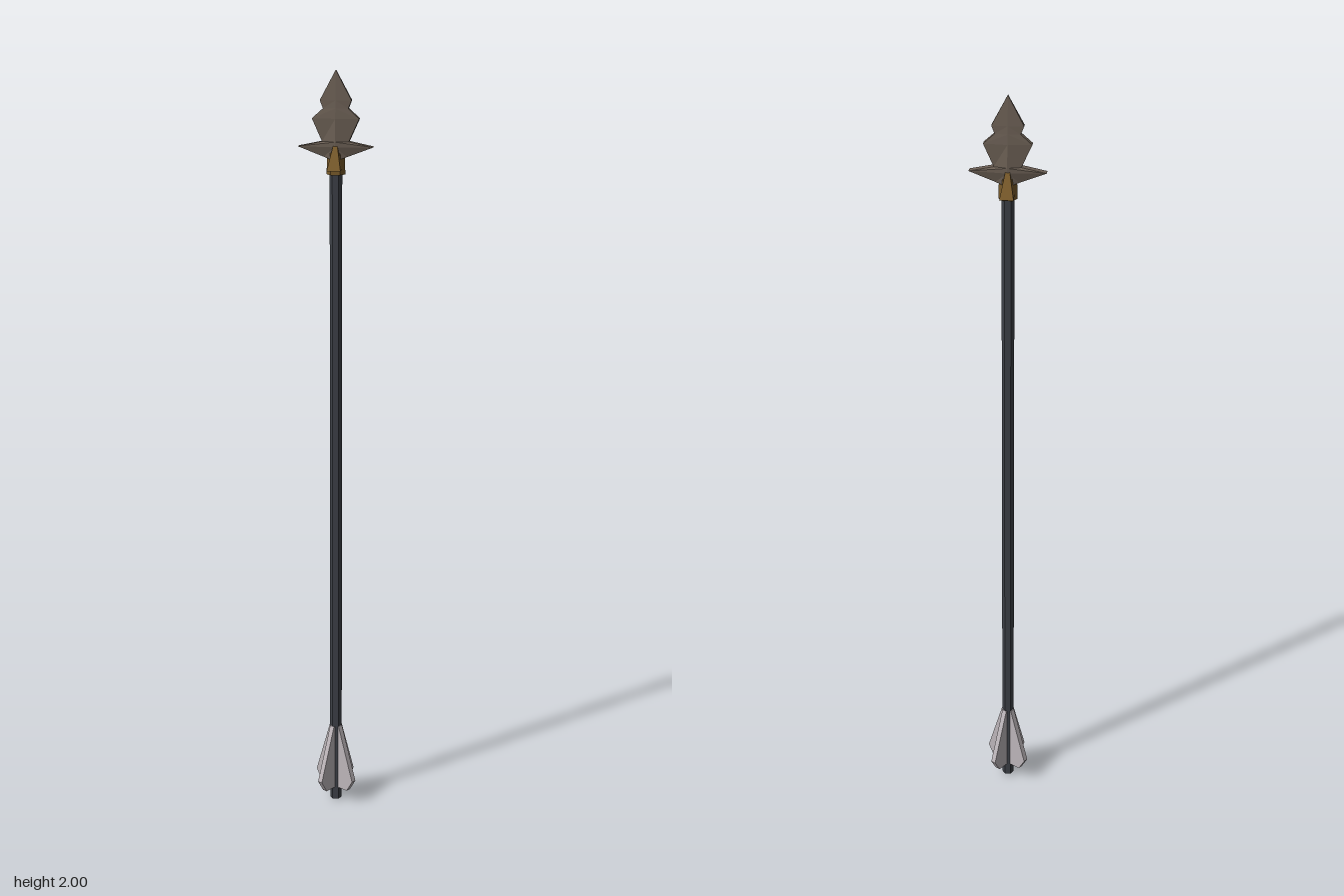
import * as THREE from 'three';

const mat = (name, color) => {
  const m = new THREE.MeshStandardMaterial({ color, flatShading: true });
  m.name = name;
  return m;
};

// Blade: each outline point is joined to a tapering central ridge, mirrored to all four quarters
function bladeGeometry() {
  // x, y, half thickness of the edge
  const outline = [
    [0, 2, 0.002], [0.04, 1.925, 0.007], [0.032, 1.905, 0.008], [0.06, 1.88, 0.009],
    [0.034, 1.823, 0.01], [0.096, 1.81, 0.01], [0.03, 1.785, 0.011], [0, 1.775, 0.02],
  ];
  const ridge = (y) => 0.002 + 0.018 * Math.min(1, (2 - y) / 0.18);
  const pos = [];
  const quad = (a, b, c, d, flip) => {
    const order = flip ? [a, c, b, a, d, c] : [a, b, c, a, c, d];
    order.forEach((p) => pos.push(...p));
  };
  for (let i = 0; i < outline.length - 1; i++) {
    const [x0, y0, t0] = outline[i];
    const [x1, y1, t1] = outline[i + 1];
    for (const sx of [1, -1]) {
      for (const sz of [1, -1]) {
        quad([0, y0, sz * ridge(y0)], [0, y1, sz * ridge(y1)],
          [sx * x1, y1, sz * t1], [sx * x0, y0, sz * t0], sx * sz < 0);
      }
      quad([sx * x0, y0, t0], [sx * x1, y1, t1], [sx * x1, y1, -t1], [sx * x0, y0, -t0], sx < 0);
    }
  }
  const g = new THREE.BufferGeometry();
  g.setAttribute('position', new THREE.Float32BufferAttribute(pos, 3));
  g.computeVertexNormals();
  return g;
}

export function createModel() {
  const group = new THREE.Group();
  const dark = mat('dark shaft', 0x3d4047);
  const stone = mat('grey brown blade', 0x6b5f54);
  const bronze = mat('bronze', 0x77592a);
  const feather = mat('pale feather', 0xbdb6ba);
  const add = (name, geometry, material) => {
    const mesh = new THREE.Mesh(geometry, material);
    mesh.name = name;
    group.add(mesh);
    return mesh;
  };

  // Shaft
  add('shaft', new THREE.CylinderGeometry(0.016, 0.016, 1.78, 6).rotateY(Math.PI / 6).translate(0, 0.89, 0), dark);

  // Arrowhead, turned very slightly on the shaft
  add('blade', bladeGeometry(), stone).rotation.y = -0.04;

  // Collar and the pyramid-shaped guard that flares front and back
  add('collar', new THREE.CylinderGeometry(0.022, 0.024, 0.055, 6).rotateY(Math.PI / 6).translate(0, 1.7675, 0), bronze);
  add('guard', new THREE.CylinderGeometry(0, Math.SQRT1_2, 1, 4).rotateY(Math.PI / 4)
    .scale(0.035, 0.085, 0.12).translate(0, 1.7975, 0), bronze);

  // Four fletching vanes
  const vane = new THREE.Shape([
    [0, 0.22], [0, 0.035], [0.046, 0.035], [0.066, 0.068], [0.016, 0.22],
  ].map(([x, y]) => new THREE.Vector2(x, y)));
  const vaneGeometry = new THREE.ExtrudeGeometry(vane, { depth: 0.014, bevelEnabled: false }).translate(0, 0, -0.007);
  for (let i = 0; i < 4; i++) {
    add('fletchingVane', vaneGeometry, feather).rotation.y = -THREE.MathUtils.degToRad(36 + 90 * i);
  }
  return group;
}
